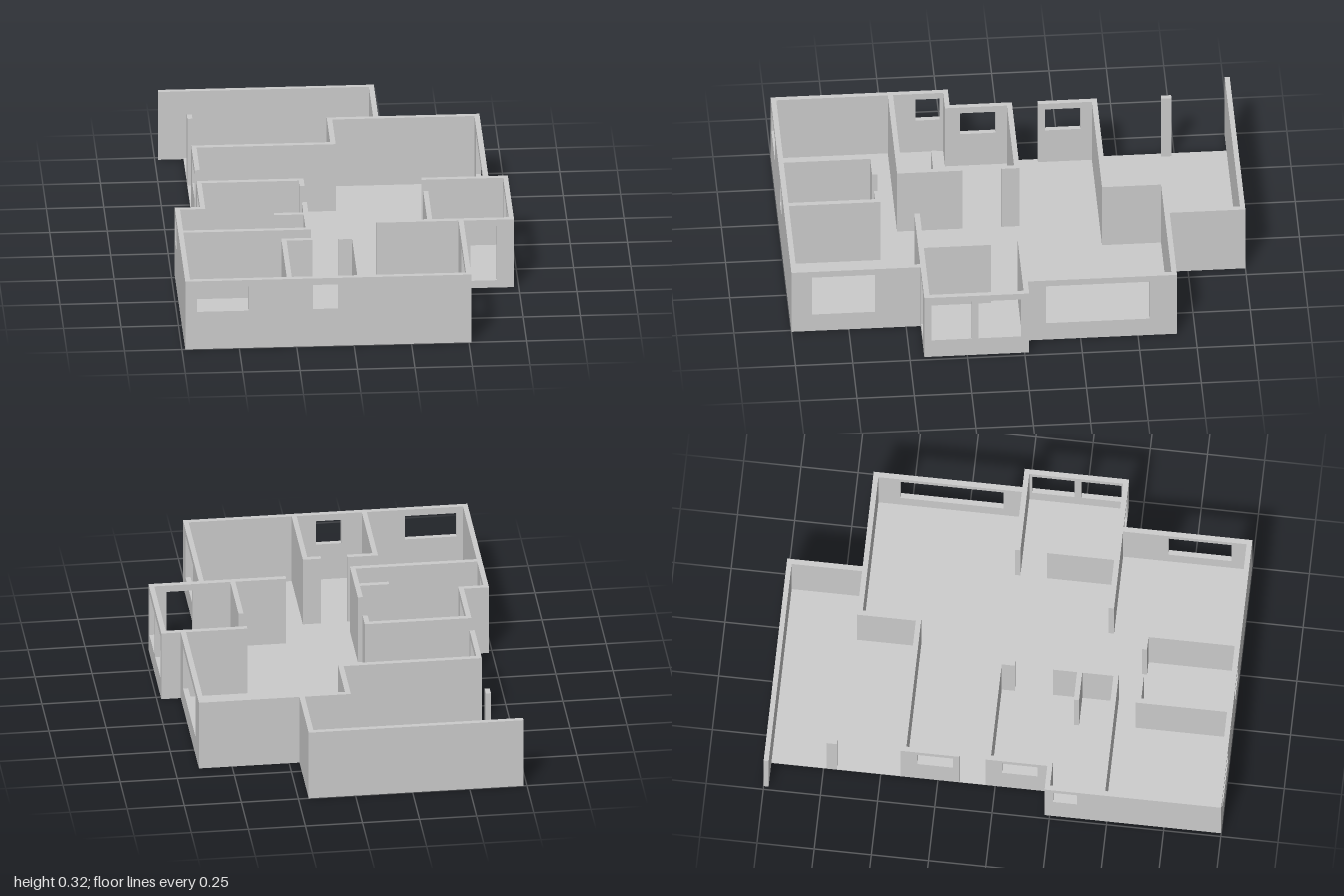
import * as THREE from 'three';

const H = 0.324;     // wall height
const FLOOR = 0.005; // slab thickness
const SILL = 0.178, LOW = 0.09, HEAD = 0.293;

export function createModel() {
  const model = new THREE.Group();
  model.name = 'houseFloorPlan';
  const mat = new THREE.MeshStandardMaterial({ color: 0xcccccc, flatShading: true });

  // Upright wall filling a plan rectangle; openings are [from, to, bottom, top] along its run
  function wall(name, x0, x1, z0, z1, openings = []) {
    const alongX = x1 - x0 > z1 - z0;
    const [a, b] = alongX ? [x0, x1] : [z0, z1];
    const shape = new THREE.Shape([[a, 0], [b, 0], [b, H], [a, H]].map(p => new THREE.Vector2(...p)));
    for (const [u0, u1, y0, y1] of openings) {
      shape.holes.push(new THREE.Path([[u0, y0], [u0, y1], [u1, y1], [u1, y0]].map(p => new THREE.Vector2(...p))));
    }
    const geo = new THREE.ExtrudeGeometry(shape, { depth: alongX ? z1 - z0 : x1 - x0, bevelEnabled: false });
    if (alongX) geo.translate(0, 0, z0);
    else geo.rotateY(-Math.PI / 2).translate(x1, 0, 0);
    const mesh = new THREE.Mesh(geo, mat);
    mesh.name = name;
    model.add(mesh);
  }

  // Floor slab following the outer outline (x, z)
  const outline = [
    [-0.625, -1], [0.205, -1], [0.205, -0.67], [0.645, -0.67], [0.645, -0.02], [0.73, -0.02],
    [0.73, 0.437], [0.51, 0.437], [0.51, 1], [-0.735, 1], [-0.735, 0.228], [-0.625, 0.228],
  ];
  const slab = new THREE.ExtrudeGeometry(
    new THREE.Shape(outline.map(([x, z]) => new THREE.Vector2(x, -z))),
    { depth: FLOOR, bevelEnabled: false });
  slab.rotateX(-Math.PI / 2);
  const floor = new THREE.Mesh(slab, mat);
  floor.name = 'floor';
  model.add(floor);

  // Terrace at the back
  wall('terraceBackWall', -0.735, 0.205, -1, -0.978);
  wall('terraceSideWall', 0.182, 0.205, -0.978, -0.67);
  wall('terracePost', -0.625, -0.603, -0.737, -0.692);

  // Living room
  wall('livingBackWall', -0.02, 0.645, -0.67, -0.647);
  wall('livingSideWall', 0.622, 0.645, -0.647, -0.02, [[-0.55, -0.1, LOW, HEAD]]);
  wall('livingReturnWall', -0.02, 0.003, -0.647, -0.39);
  wall('kitchenBackWall', -0.625, -0.02, -0.413, -0.39);
  wall('kitchenSideWall', -0.625, -0.603, -0.39, -0.155, [[-0.34, -0.185, SILL, HEAD]]);

  // Sunroom
  wall('sunroomBackWall', 0.353, 0.73, -0.02, 0.003);
  wall('sunroomSideWall', 0.708, 0.73, 0.003, 0.413,
    [[0.015, 0.2, LOW, HEAD], [0.23, 0.405, LOW, HEAD]]);
  wall('sunroomFrontWall', 0.13, 0.73, 0.413, 0.437, [[0.54, 0.655, 0.035, HEAD]]);
  wall('sunroomInnerWall', 0.353, 0.375, 0.12, 0.413);

  // Front rooms
  wall('frontRoomSideWall', 0.488, 0.51, 0.437, 0.977, [[0.635, 0.91, LOW, HEAD]]);
  wall('frontWall', -0.735, 0.51, 0.977, 1,
    [[-0.685, -0.46, SILL, HEAD], [-0.18, -0.07, SILL, HEAD]]);
  wall('bedroomSideWall', -0.735, -0.713, 0.25, 0.977, [[0.265, 0.37, SILL, HEAD]]);
  wall('bedroomStepWall', -0.735, -0.603, 0.228, 0.25);

  // Side room
  wall('sideRoomOuterWall', -0.625, -0.603, -0.02, 0.228, [[0.03, 0.185, SILL, HEAD]]);
  wall('sideRoomBackWall', -0.625, -0.158, -0.043, -0.02);
  wall('sideRoomDoorStub', -0.18, -0.158, -0.02, 0.037);
  wall('sideRoomInnerWall', -0.18, -0.158, 0.205, 0.468);
  wall('sideRoomPartition', -0.308, -0.18, 0.309, 0.332);
  wall('sideRoomFrontWall', -0.713, -0.158, 0.468, 0.491);

  // Small front room with a doorway between two stubs
  wall('smallRoomRightWall', -0.292, -0.27, 0.6, 0.977);
  wall('smallRoomLeftWall', 0.015, 0.037, 0.6, 0.977);
  wall('smallRoomRightStub', -0.292, -0.158, 0.577, 0.6);
  wall('smallRoomLeftStub', -0.043, 0.037, 0.577, 0.6);

  return model;
}
